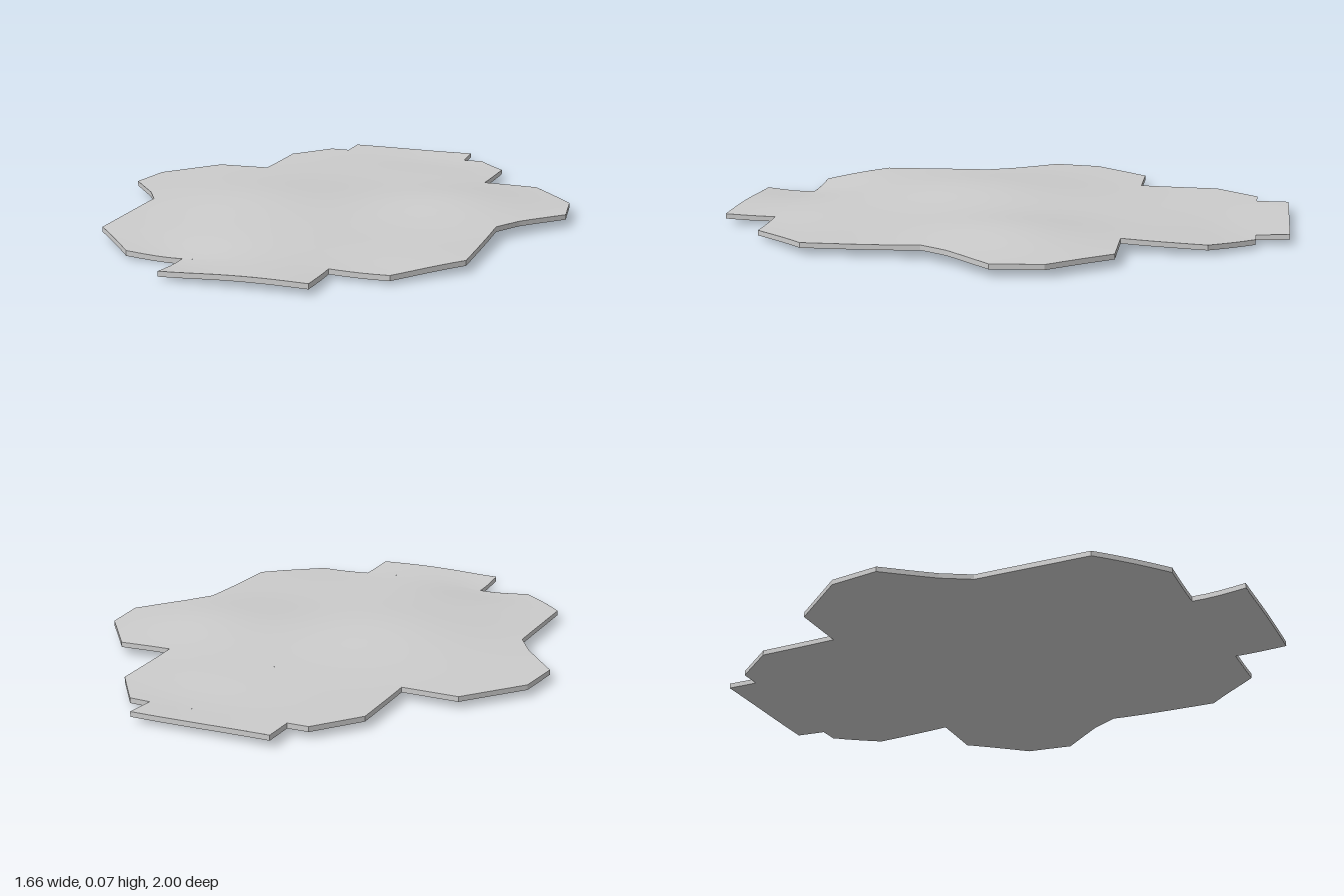
import * as THREE from 'three';
import { mergeGeometries, mergeVertices } from 'three/addons/utils/BufferGeometryUtils.js';

const THICK = 0.018;

// Half outline [halfWidth, z], from the back tab to the front tab
const HALF = [
  [0.25, -1], [0.25, -0.885], [0.325, -0.885], [0.445, -0.73], [0.445, -0.44],
  [0.645, -0.44], [0.81, -0.235], [0.83, -0.06], [0.7, 0.1], [0.64, 0.2],
  [0.64, 0.61], [0.45, 0.815], [0.25, 0.815], [0.25, 1],
];

// Gentle swells and dips of the slab: [x, z, height, radiusX, radiusZ]
const SWELLS = [
  [-0.22, 0.12, 0.033, 0.34, 0.38],
  [0.43, -0.08, 0.031, 0.27, 0.3],
  [-0.28, 0.84, -0.024, 0.22, 0.2],
  [0.38, 0.84, -0.013, 0.22, 0.2],
  [0.2, -0.82, -0.012, 0.3, 0.2],
];

function underside(x, z) {
  let y = 0.027;
  for (const [cx, cz, h, rx, rz] of SWELLS) {
    y += h * Math.exp(-(((x - cx) / rx) ** 2) - ((z - cz) / rz) ** 2);
  }
  return Math.max(0, y);
}

// Grid of (nu + 1) x (nv + 1) points given by a rule
function grid(nu, nv, point, flip) {
  const pos = [], index = [];
  for (let j = 0; j <= nv; j++) {
    for (let i = 0; i <= nu; i++) pos.push(...point(i / nu, j / nv));
  }
  for (let j = 0; j < nv; j++) {
    for (let i = 0; i < nu; i++) {
      const a = j * (nu + 1) + i, b = a + 1, c = a + nu + 1, d = c + 1;
      if (flip) index.push(a, b, c, b, d, c);
      else index.push(a, c, b, b, c, d);
    }
  }
  const g = new THREE.BufferGeometry();
  g.setAttribute('position', new THREE.Float32BufferAttribute(pos, 3));
  g.setIndex(index);
  return g;
}

// One broad face of the slab, made of bands across its width
function face(lift, flip) {
  const bands = [];
  for (let k = 0; k < HALF.length - 1; k++) {
    const [w0, z0] = HALF[k], [w1, z1] = HALF[k + 1];
    if (z1 === z0) continue;
    const rows = Math.max(2, Math.ceil((z1 - z0) / 0.05));
    bands.push(grid(32, rows, (u, v) => {
      const x = (2 * u - 1) * THREE.MathUtils.lerp(w0, w1, v);
      const z = THREE.MathUtils.lerp(z0, z1, v);
      return [x, underside(x, z) + lift, z];
    }, flip));
  }
  const g = mergeVertices(mergeGeometries(bands), 1e-4);
  g.computeVertexNormals();
  return g;
}

// Upright rim following the whole outline
function rim() {
  const loop = [...HALF, ...HALF.map(([w, z]) => [-w, z]).reverse()];
  const walls = loop.map(([x0, z0], k) => {
    const [x1, z1] = loop[(k + 1) % loop.length];
    const steps = Math.max(2, Math.ceil(Math.hypot(x1 - x0, z1 - z0) / 0.05));
    const g = grid(steps, 1, (u, v) => {
      const x = THREE.MathUtils.lerp(x0, x1, u), z = THREE.MathUtils.lerp(z0, z1, u);
      return [x, underside(x, z) + v * THICK, z];
    }, false);
    g.computeVertexNormals();
    return g;
  });
  return mergeGeometries(walls);
}

export function createModel() {
  const group = new THREE.Group();
  group.name = 'warpedSlab';
  const material = new THREE.MeshStandardMaterial({ color: 0xcccccc });
  const rimMaterial = new THREE.MeshStandardMaterial({ color: 0xcccccc, side: THREE.DoubleSide });
  const add = (name, geometry, mat) => {
    const mesh = new THREE.Mesh(geometry, mat);
    mesh.name = name;
    group.add(mesh);
  };
  add('topFace', face(THICK, false), material);
  add('bottomFace', face(0, true), material);
  add('rim', rim(), rimMaterial);
  return group;
}
